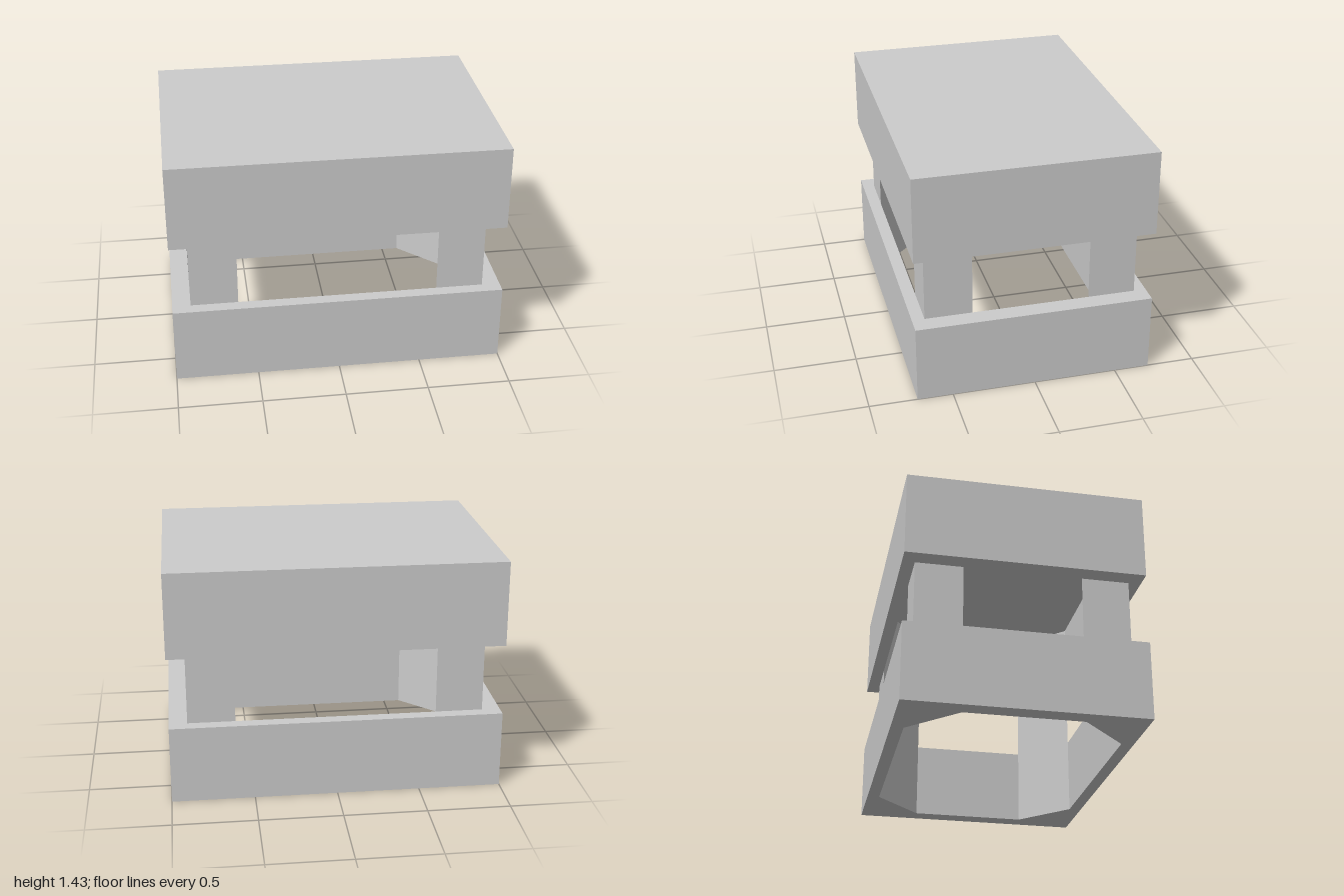
import * as THREE from 'three';

const HX = 1, HZ = 0.713;          // outer half sizes
const IX = 0.89, IZ = 0.638;       // inner half sizes
const CUT = 0.285;                 // corner cut, also the leg width
const BASE_TOP = 0.475, CAP_BOTTOM = 0.912, CEILING = 1.33, TOP = 1.43;

const material = new THREE.MeshStandardMaterial({ color: 0xcccccc, flatShading: true });

const points = (list) => list.map(([x, z]) => new THREE.Vector2(x, z));

// Extrude a plan shape upwards from y0 to y1
function prism(name, shape, y0, y1) {
  const geometry = new THREE.ExtrudeGeometry(shape, { depth: y1 - y0, bevelEnabled: false });
  geometry.rotateX(-Math.PI / 2);
  geometry.translate(0, y0, 0);
  const mesh = new THREE.Mesh(geometry, material);
  mesh.name = name;
  return mesh;
}

// Rectangular plan with an eight-sided opening
function frameShape() {
  const shape = new THREE.Shape(points([[-HX, -HZ], [HX, -HZ], [HX, HZ], [-HX, HZ]]));
  const cx = IX - CUT, cz = IZ - CUT;
  shape.holes.push(new THREE.Path(points([
    [cx, IZ], [IX, cz], [IX, -cz], [cx, -IZ],
    [-cx, -IZ], [-IX, -cz], [-IX, cz], [-cx, IZ],
  ])));
  return shape;
}

export function createModel() {
  const model = new THREE.Group();
  model.name = 'openFrameBox';

  // Open base ring and hollow cap
  model.add(prism('baseFrame', frameShape(), 0, BASE_TOP));
  model.add(prism('capFrame', frameShape(), CAP_BOTTOM, CEILING));
  const lid = new THREE.Mesh(new THREE.BoxGeometry(2 * HX, TOP - CEILING, 2 * HZ), material);
  lid.name = 'capLid';
  lid.position.y = (TOP + CEILING) / 2;
  model.add(lid);

  // Triangular corner legs joining base and cap
  for (const sx of [-1, 1]) {
    for (const sz of [-1, 1]) {
      const shape = new THREE.Shape(points([
        [sx * IX, sz * IZ], [sx * (IX - CUT), sz * IZ], [sx * IX, sz * (IZ - CUT)],
      ]));
      const name = (sz < 0 ? 'front' : 'back') + (sx > 0 ? 'Left' : 'Right') + 'Leg';
      model.add(prism(name, shape, BASE_TOP, CAP_BOTTOM));
    }
  }
  return model;
}
